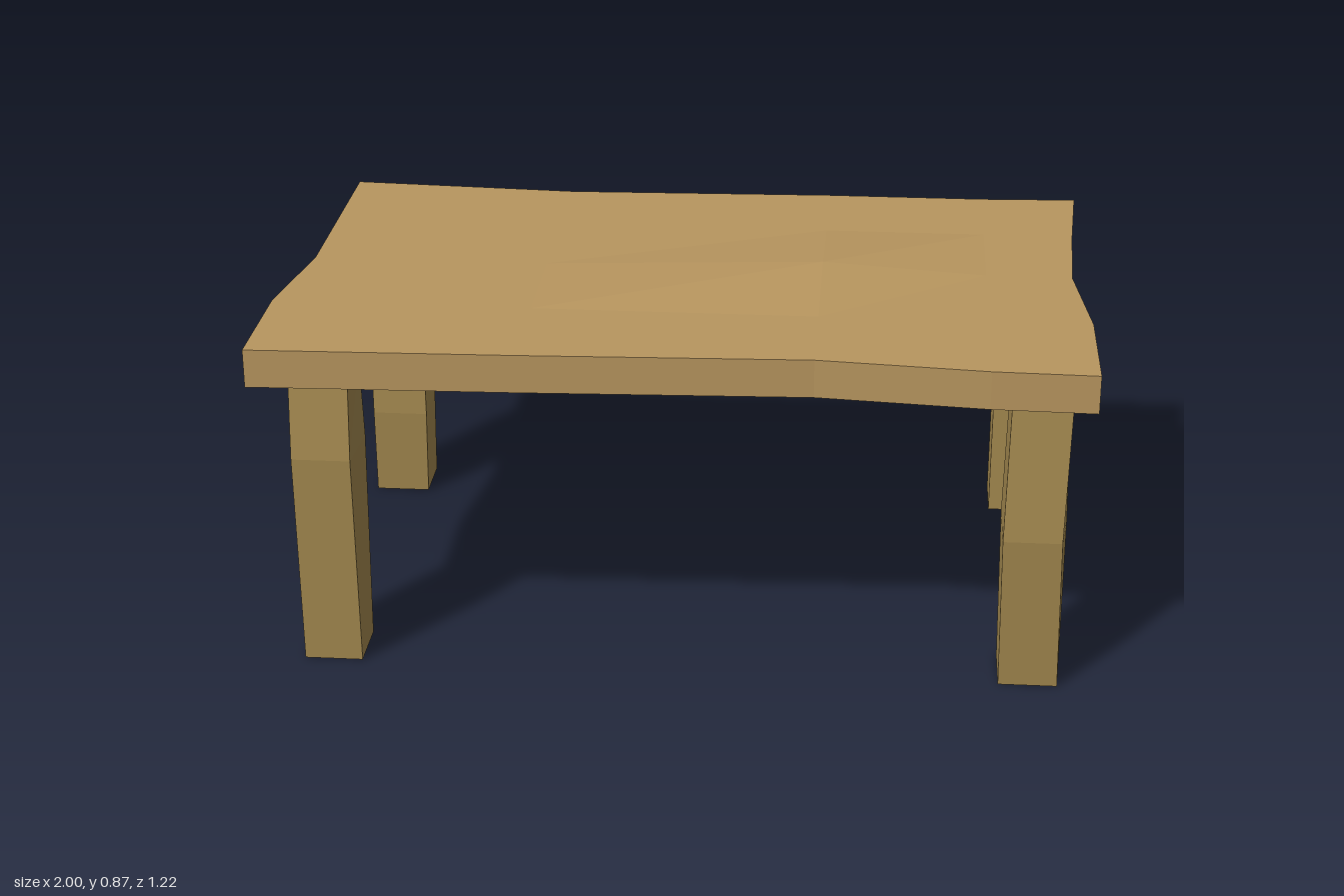
import * as THREE from 'three';

const material = (color) => new THREE.MeshStandardMaterial({ color, flatShading: true });

// Move every vertex of a geometry by a rule
function reshape(geometry, rule) {
  const p = geometry.attributes.position;
  const v = new THREE.Vector3();
  for (let i = 0; i < p.count; i++) {
    rule(v.fromBufferAttribute(p, i));
    p.setXYZ(i, v.x, v.y, v.z);
  }
  geometry.computeVertexNormals();
  return geometry;
}

// Hand-cut slab: uneven edges and a low hump in the middle
function makeTop() {
  const xs = [-1, -0.36, 0.34, 0.75, 1];
  const zs = [-0.61, -0.32, -0.02, 0.29, 0.61];
  const left = [-0.955, -0.955, -0.955, -1, -1];
  const right = [1, 0.98, 0.965, 1, 1];
  const front = [0.607, 0.59, 0.563, 0.6, 0.607];
  const backUpper = [-0.612, -0.577, -0.6, -0.6, -0.612];
  const backLower = [-0.612, -0.592, -0.6, -0.612, -0.613];
  return reshape(new THREE.BoxGeometry(4, 1, 4, 4, 1, 4), (v) => {
    const i = Math.round(v.x + 2), j = Math.round(v.z + 2);
    const upper = v.y > 0;
    v.x = i === 0 ? left[j] : i === 4 ? right[j] : xs[i];
    v.z = j === 4 ? front[i] : j === 0 ? (upper ? backUpper : backLower)[i] : zs[j];
    v.y = upper ? (i === 2 && j === 2 ? 0.865 : 0.84) : 0.745;
  });
}

// Square post with one slightly crooked ring at height bendY
function makeLeg(x, z, bendY, bend) {
  return reshape(new THREE.BoxGeometry(0.143, 2, 0.145, 1, 2, 1), (v) => {
    const [dx, dz] = Math.abs(v.y) < 0.1 ? bend(Math.sign(v.x), Math.sign(v.z)) : [0, 0];
    v.y = v.y < -0.1 ? 0 : v.y > 0.1 ? 0.75 : bendY;
    v.x += x + dx;
    v.z += z + dz;
  });
}

export function createModel() {
  const group = new THREE.Group();
  const add = (name, geometry, mat) => {
    const mesh = new THREE.Mesh(geometry, mat);
    mesh.name = name;
    group.add(mesh);
  };
  add('tableTop', makeTop(), material(0xb8965f));

  // Each leg bends its own way
  const wood = material(0xa58a50);
  const legs = [
    ['frontLeftLeg', 0.874, 0.492, 0.4, (sx, sz) => [sx < 0 ? -0.007 : sz > 0 ? -0.009 : 0.008, sx < 0 && sz < 0 ? 0.005 : 0.027]],
    ['frontRightLeg', -0.835, 0.492, 0.55, (sx, sz) => [sx > 0 && sz < 0 ? 0.007 : 0, sz > 0 ? 0.02 : 0.006]],
    ['backLeftLeg', 0.874, -0.487, 0.63, (sx, sz) => [0, sz > 0 ? 0.006 : 0.004]],
    ['backRightLeg', -0.835, -0.487, 0.24, (sx) => [sx > 0 ? 0.006 : 0.002, 0.016]],
  ];
  for (const [name, x, z, bendY, bend] of legs) add(name, makeLeg(x, z, bendY, bend), wood);
  return group;
}
